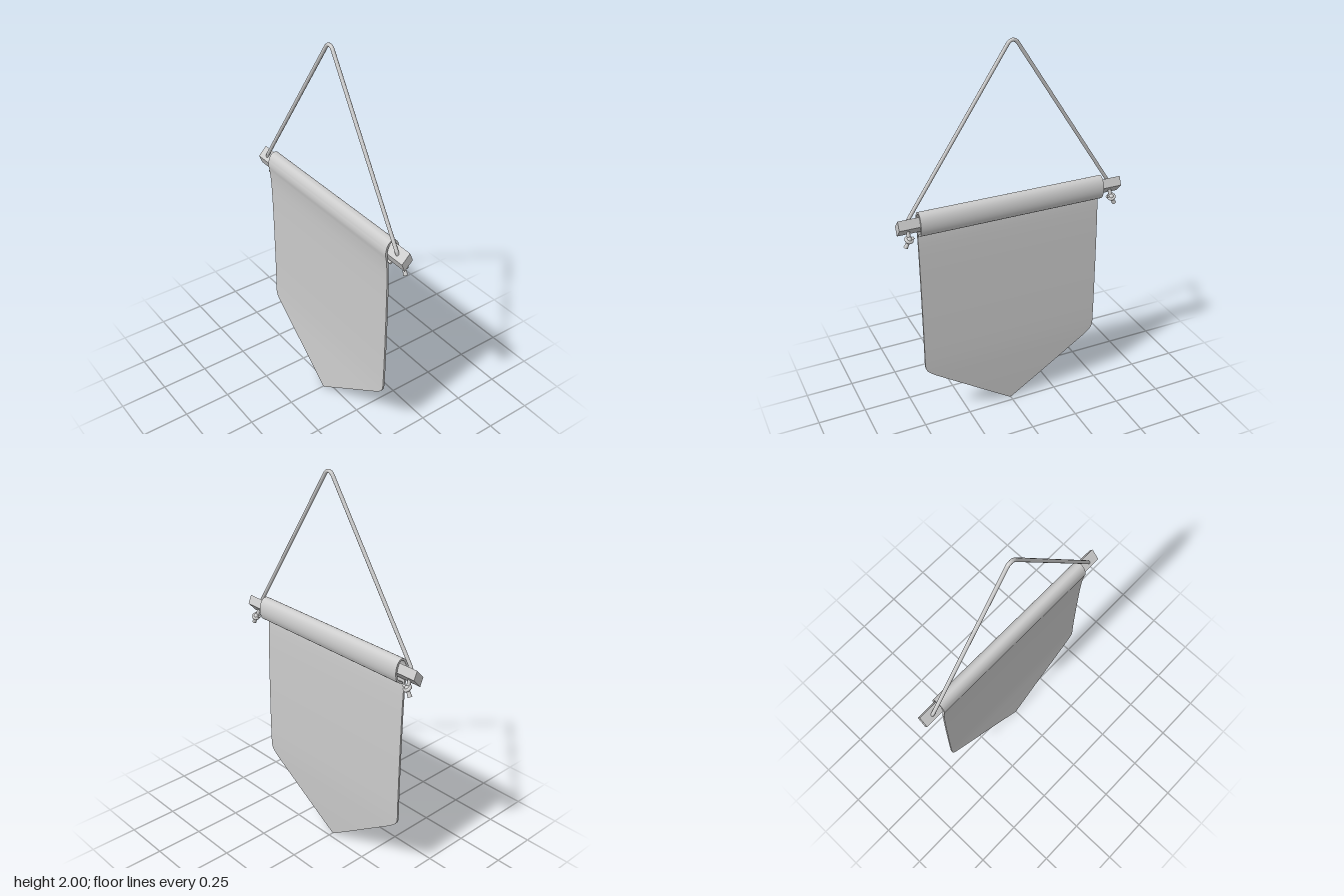
import * as THREE from 'three';
import { toCreasedNormals } from 'three/addons/utils/BufferGeometryUtils.js';

const V = (x, y, z) => new THREE.Vector3(x, y, z);

// Lofts closed rings of equal length, with both ends capped by a fan
function loft(rings) {
  const n = rings[0].length, pos = [], idx = [];
  rings.forEach(r => r.forEach(p => pos.push(p.x, p.y, p.z)));
  for (let i = 0; i < rings.length - 1; i++) {
    for (let k = 0; k < n; k++) {
      const a = i * n + k, b = i * n + (k + 1) % n;
      idx.push(a, b, b + n, a, b + n, a + n);
    }
  }
  const e = (rings.length - 1) * n;
  for (let k = 1; k < n - 1; k++) idx.push(0, k + 1, k, e, e + k, e + k + 1);
  const g = new THREE.BufferGeometry();
  g.setAttribute('position', new THREE.Float32BufferAttribute(pos, 3));
  g.setIndex(idx);
  return toCreasedNormals(g, 0.7);
}

// Half width of the pennant at a height: pointed below, rounded shoulders
function halfWidth(y) {
  const steps = [[0, 0.001], [0.285, 0.415], [0.305, 0.442], [0.32, 0.46],
    [0.335, 0.472], [0.35, 0.478], [0.37, 0.48]];
  for (let i = 1; i < steps.length; i++) {
    const [y0, w0] = steps[i - 1], [y1, w1] = steps[i];
    if (y < y1) return w0 + (w1 - w0) * Math.max(0, (y - y0) / (y1 - y0));
  }
  return 0.48;
}

export function createModel() {
  const model = new THREE.Group();
  model.name = 'hangingPennant';
  const mat = new THREE.MeshStandardMaterial({ color: 0xcccccc });
  const clothMat = new THREE.MeshStandardMaterial({ color: 0xcccccc, side: THREE.DoubleSide });
  const add = (name, geometry, parent = model, material = mat) => {
    const m = new THREE.Mesh(geometry, material);
    m.name = name;
    parent.add(m);
    return m;
  };

  // Cloth: one strip rising from the tip and wrapping over the bar as a sleeve
  const profile = [V(0, 0.004, 0.033), V(0, 0.17, 0.023), V(0, 0.37, 0.014), V(0, 0.7, 0.013),
    V(0, 1.0, 0.017), V(0, 1.09, 0.021)];
  for (let i = 0; i <= 12; i++) {
    const a = -0.5 + i / 12 * 4.5;
    profile.push(V(0, 1.18 + 0.058 * Math.sin(a), -0.002 + 0.034 * Math.cos(a)));
  }
  profile.push(V(0, 1.116, 0.008));
  const path = new THREE.CatmullRomCurve3(profile, false, 'centripetal');
  path.arcLengthDivisions = 800;
  const rows = 180, rings = [];
  for (let i = 0; i <= rows; i++) {
    const p = path.getPointAt(i / rows), t = path.getTangentAt(i / rows);
    const w = halfWidth(p.y), ny = -t.z * 0.005, nz = t.y * 0.005;
    rings.push([V(-w, p.y + ny, p.z + nz), V(w, p.y + ny, p.z + nz),
      V(w, p.y - ny, p.z - nz), V(-w, p.y - ny, p.z - nz)]);
  }
  add('clothPennant', loft(rings), model, clothMat);

  // Bar: a tilted four-sided stick
  const section = [[-0.033, 1.182], [-0.015, 1.225], [0.028, 1.18], [0.01, 1.136]];
  add('bar', loft([-0.583, 0.583].map(x => section.map(([z, y]) => V(x, y, z)))));

  // Cord: straight runs with a tight rounded bend at the top, passing through the bar
  const cord = new THREE.CurvePath();
  const side = s => [V(s * 0.535, 1.13, -0.015), V(s * 0.527, 1.205, 0.011), V(s * 0.028, 1.97, -0.002)];
  const [l0, l1, l2] = side(-1), [r0, r1, r2] = side(1);
  cord.add(new THREE.LineCurve3(l0, l1));
  cord.add(new THREE.LineCurve3(l1, l2));
  cord.add(new THREE.CubicBezierCurve3(l2, V(-0.012, 1.998, -0.003), V(0.012, 1.998, -0.003), r2));
  cord.add(new THREE.LineCurve3(r2, r1));
  cord.add(new THREE.LineCurve3(r1, r0));
  add('cord', new THREE.TubeGeometry(cord, 160, 0.009, 10, false));

  // Knots below the bar, each with a flared loose end
  for (const s of [-1, 1]) {
    const knot = new THREE.Group();
    knot.name = s > 0 ? 'leftKnot' : 'rightKnot';
    knot.position.set(s * 0.536, 1.123, -0.022);
    model.add(knot);
    add('knotCore', new THREE.SphereGeometry(0.014, 14, 10), knot);
    const wrap = add('knotWrap', new THREE.TorusGeometry(0.015, 0.008, 8, 18), knot);
    wrap.rotation.set(Math.PI / 2 - 0.5, s * 0.3, 0);
    const tail = add('looseEnd', new THREE.CylinderGeometry(0.007, 0.011, 0.04, 10), knot);
    tail.position.set(s * 0.009, -0.02, 0);
    tail.rotation.z = s * 0.5;
    const stub = add('shortEnd', new THREE.CylinderGeometry(0.007, 0.007, 0.03, 10), knot);
    stub.position.set(-s * 0.012, -0.001, 0.002);
    stub.rotation.z = s * 1.1;
  }
  return model;
}
